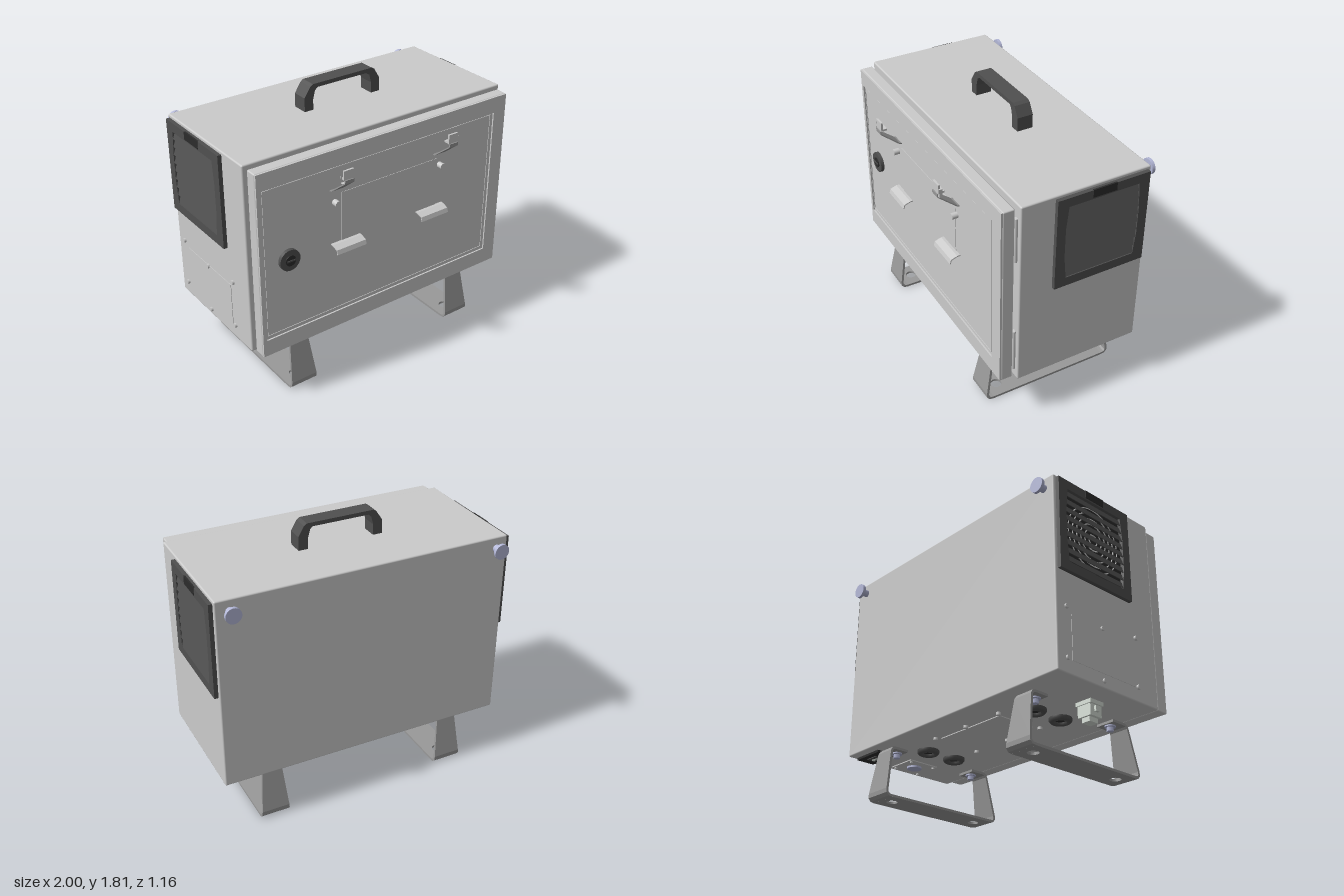
import * as THREE from 'three';
import { RoundedBoxGeometry } from 'three/addons/geometries/RoundedBoxGeometry.js';

const mat = (color) => new THREE.MeshStandardMaterial({ color });
const GREY = mat(0xcccccc), LEG = mat(0x999999), DARK = mat(0x505050), BLACK = mat(0x2c2c2c),
  BOLT = mat(0xb4b8d8), PALE = mat(0xd8e0d8);

export function createModel() {
  const model = new THREE.Group();

  const add = (name, geo, material = GREY, parent = model) => {
    const m = new THREE.Mesh(geo, material);
    m.name = name;
    parent.add(m);
    return m;
  };
  // box given by its limits on each axis
  const box = (name, x0, x1, y0, y1, z0, z1, material, parent) => {
    const m = add(name, new THREE.BoxGeometry(x1 - x0, y1 - y0, z1 - z0), material, parent);
    m.position.set((x0 + x1) / 2, (y0 + y1) / 2, (z0 + z1) / 2);
    return m;
  };
  // cylinder centred at a point, lying along an axis
  const cyl = (name, r, h, axis, x, y, z, material, parent, sides = 24) => {
    const g = new THREE.CylinderGeometry(r, r, h, sides);
    if (axis === 'x') g.rotateZ(-Math.PI / 2);
    if (axis === 'z') g.rotateX(Math.PI / 2);
    const m = add(name, g, material, parent);
    m.position.set(x, y, z);
    return m;
  };
  const poly = (pts) => new THREE.Shape(pts.map((p) => new THREE.Vector2(...p)));
  const rect = (x0, x1, y0, y1) => poly([[x0, y0], [x1, y0], [x1, y1], [x0, y1]]);
  const circle = (x, y, r) => new THREE.Path().absarc(x, y, r, 0, Math.PI * 2, true);
  const extrude = (shape, depth) =>
    new THREE.ExtrudeGeometry(shape, { depth, bevelEnabled: false, curveSegments: 20 });

  // cabinet body
  add('cabinet', new RoundedBoxGeometry(1.94, 1.28, 0.86, 2, 0.01)).position.set(0, 1, -0.08);

  // door: gasket, slab, raised border and sloped rim of the recessed panel
  box('doorGasket', -0.93, 0.84, 0.43, 1.55, 0.34, 0.375);
  add('doorSlab', new RoundedBoxGeometry(1.89, 1.25, 0.076, 2, 0.008)).position.set(-0.005, 0.995, 0.407);
  const border = rect(-0.947, 0.937, 0.373, 1.617);
  border.holes.push(rect(-0.92, 0.84, 0.485, 1.51));
  add('doorBorder', extrude(border, 0.015)).position.z = 0.44;
  const bead = rect(-0.908, 0.818, 0.508, 1.5);
  bead.holes.push(rect(-0.904, 0.814, 0.512, 1.496));
  add('panelBead', extrude(bead, 0.005)).position.z = 0.444;
  for (const y of [0.58, 1.4]) cyl('hinge', 0.014, 0.3, 'y', 0.93, y, 0.358);

  // door lock
  cyl('lockDisc', 0.07, 0.024, 'z', -0.745, 1, 0.456, DARK, model, 40);
  cyl('lockHub', 0.035, 0.008, 'z', -0.745, 1, 0.47, BLACK);
  box('lockSlot', -0.775, -0.715, 0.995, 1.005, 0.47, 0.478, DARK);

  // holder on the door: back plate, spring clips, studs and lower ledges
  box('holderPlate', -0.36, 0.38, 0.98, 1.32, 0.444, 0.448);
  for (const s of [-1, 1]) {
    const cx = s === -1 ? -0.4 : 0.39;
    const clip = new THREE.Group();
    clip.name = 'springClip';
    clip.position.x = cx;
    model.add(clip);
    const arm = strap([[0.444, 1.355], [0.46, 1.36], [0.578, 1.455], [0.578, 1.475]], 0.007,
      (y) => 0.045 - (y - 1.36) * 0.12);
    add('clipArm', arm, LEG, clip);
    box('clipHook', -0.035, 0.035, 1.475, 1.488, 0.535, 0.575, GREY, clip);
    box('clipTip', -0.035, 0.035, 1.485, 1.535, 0.562, 0.575, GREY, clip);
    box('clipEar', -s * 0.005, s * 0.045, 1.455, 1.51, 0.552, 0.573, GREY, clip).scale.x = 1;
    cyl('holderStud', 0.02, 0.045, 'z', cx + s * 0.01, 1.27, 0.463, GREY);
    const ledge = strap([[0.444, 0.986], [0.465, 0.986], [0.507, 0.972], [0.514, 0.945]], 0.007, () => 0.108);
    add('holderLedge', ledge).position.x = s === -1 ? -0.332 : 0.325;
  }

  // carrying handle
  const grip = poly([[-0.288, 1.635], [-0.288, 1.73], [-0.245, 1.795], [-0.225, 1.808], [0.225, 1.808], [0.245, 1.795],
    [0.283, 1.73], [0.283, 1.635], [0.22, 1.635], [0.22, 1.71], [0.205, 1.765], [0.19, 1.782],
    [-0.19, 1.782], [-0.21, 1.765], [-0.225, 1.71], [-0.225, 1.635]]);
  add('handle', extrude(grip, 0.105), DARK).position.z = -0.137;

  // louvred fan vents, built flat (local x across, z outwards) and turned to each side
  for (const s of [-1, 1]) {
    const vent = new THREE.Group();
    vent.name = 'sideVent';
    vent.position.set(s * 0.968, 1.31, -0.18);
    vent.rotation.y = s * Math.PI / 2;
    model.add(vent);
    const frame = rect(-0.31, 0.31, -0.31, 0.31);
    frame.holes.push(poly([[-0.235, -0.25], [0.235, -0.25], [0.25, -0.1], [0.25, 0.1], [0.235, 0.25],
      [-0.235, 0.25], [-0.25, 0.1], [-0.25, -0.1]]));
    add('ventFrame', extrude(frame, 0.028), DARK, vent);
    box('ventBack', -0.26, 0.26, -0.26, 0.26, 0, 0.004, BLACK, vent);
    for (let i = 1; i <= 6; i++) {
      add('fanGuardRing', new THREE.TorusGeometry(i * 0.036, 0.004, 5, 40), GREY, vent).position.z = 0.005;
    }
    for (let i = 0; i < 9; i++) {
      const slat = box('louvre', -0.251, 0.251, -0.024, 0.024, -0.002, 0.002, DARK, vent);
      slat.position.set(0, -0.222 + i * 0.0555, 0.018);
      slat.rotation.x = -0.32;
    }
    box('ventLatch', -0.08, 0.08, 0.26, 0.312, 0.02, 0.031, BLACK, vent);
  }

  // access plate with screws on the right side
  box('accessPlate', -0.973, -0.965, 0.45, 0.74, -0.39, 0.14);
  for (const [y, z] of [[0.775, -0.43], [0.735, -0.13], [0.775, 0.17], [0.455, -0.43], [0.405, -0.13], [0.455, 0.17]]) {
    cyl('accessScrew', 0.015, 0.016, 'x', -0.976, y, z, GREY, model, 12);
  }

  // rear knobs
  for (const x of [-0.893, 0.88]) {
    cyl('knobStem', 0.025, 0.06, 'z', x, 1.565, -0.535, BOLT);
    cyl('knobHead', 0.05, 0.02, 'z', x, 1.565, -0.567, BOLT);
  }

  // bent strap feet: two tapered sides with top tabs, floor with holes
  for (const x of [-0.643, 0.638]) {
    const foot = new THREE.Group();
    foot.name = 'foot';
    foot.position.x = x;
    model.add(foot);
    const width = (y) => 0.098 - y * 0.095;
    const front = [[0.24, 0.343], [0.34, 0.343], [0.358, 0.338], [0.37, 0.32], [0.42, 0.05], [0.419, 0.026],
      [0.405, 0.011], [0.38, 0.008]];
    const back = front.map(([z, y]) => [-z - 0.07 + (y > 0.3 ? -0.01 : 0), y]).reverse();
    add('footFront', strap(front, 0.016, width), LEG, foot);
    add('footBack', strap(back, 0.016, width), LEG, foot);
    const floor = rect(-0.0975, 0.0975, -0.382, 0.452);
    floor.holes.push(circle(0, -0.31, 0.036), circle(0, 0.38, 0.036));
    add('footFloor', extrude(floor, 0.016).rotateX(-Math.PI / 2), LEG, foot);
    for (const z of [0.285, -0.36]) {
      cyl('footWasher', 0.035, 0.012, 'y', 0, 0.332, z, BOLT, foot);
      cyl('footBolt', 0.022, 0.035, 'y', 0, 0.318, z, BOLT, foot, 6);
    }
  }

  // underside: cable grommets
  for (const x of [-0.48, 0.51]) for (const z of [0.02, -0.2]) {
    const profile = [[0.04, 0.03], [0.04, 0], [0.062, 0], [0.072, 0.012], [0.072, 0.03]];
    add('grommet', new THREE.LatheGeometry(profile.map((p) => new THREE.Vector2(...p)).reverse(), 28),
      new THREE.MeshStandardMaterial({ color: 0x505050, side: THREE.DoubleSide })).position.set(x, 0.332, z);
    cyl('grommetHole', 0.041, 0.01, 'y', x, 0.356, z, BLACK);
  }

  // underside: cover plate with screws
  box('bottomPlate', -0.27, 0.27, 0.354, 0.365, -0.29, -0.01);
  for (const x of [-0.295, 0, 0.29]) for (const z of [-0.32, 0.03]) {
    cyl('plateScrew', 0.015, 0.018, 'y', x, 0.352, z, GREY, model, 12);
  }

  // underside: power inlet and round socket on a plate
  box('powerInlet', 0.72, 0.945, 0.344, 0.365, -0.455, -0.325, BLACK);
  box('inletPlug', 0.79, 0.88, 0.338, 0.35, -0.42, -0.36, DARK);
  for (const x of [0.815, 0.835, 0.855]) box('inletPin', x - 0.004, x + 0.004, 0.332, 0.34, -0.4, -0.38, PALE);
  box('socketPlate', 0.72, 0.93, 0.353, 0.365, -0.18, 0.05);
  cyl('socket', 0.05, 0.02, 'y', 0.82, 0.35, -0.07, BOLT);
  for (const x of [0.74, 0.91]) for (const z of [-0.16, 0.03]) cyl('socketScrew', 0.01, 0.016, 'y', x, 0.35, z, GREY, model, 10);

  // underside: rectangular connector
  box('connectorFlange', -0.825, -0.705, 0.335, 0.365, -0.09, 0.02, PALE);
  box('connectorBody', -0.815, -0.715, 0.262, 0.34, -0.083, 0.013, PALE);
  box('connectorClamp', -0.83, -0.7, 0.29, 0.325, -0.05, -0.02, PALE);
  box('connectorNose', -0.795, -0.735, 0.232, 0.265, -0.07, 0, PALE);

  return model;
}

// flat strip of metal following (z, y) points; half width is a function of height
function strap(path, thick, halfWidth) {
  const n = path.length, pos = [], rings = path.map(([z, y], i) => {
    const a = path[Math.max(i - 1, 0)], b = path[Math.min(i + 1, n - 1)];
    const l = Math.hypot(b[0] - a[0], b[1] - a[1]);
    const nz = -(b[1] - a[1]) / l * thick / 2, ny = (b[0] - a[0]) / l * thick / 2, w = halfWidth(y);
    return [[-w, y + ny, z + nz], [w, y + ny, z + nz], [w, y - ny, z - nz], [-w, y - ny, z - nz]];
  });
  const quad = (a, b, c, d) => pos.push(...a, ...b, ...c, ...a, ...c, ...d);
  for (let i = 0; i < n - 1; i++) for (let k = 0; k < 4; k++) {
    const j = (k + 1) % 4;
    quad(rings[i][k], rings[i + 1][k], rings[i + 1][j], rings[i][j]);
  }
  quad(...rings[0]);
  quad(...[...rings[n - 1]].reverse());
  const g = new THREE.BufferGeometry();
  g.setAttribute('position', new THREE.Float32BufferAttribute(pos, 3));
  g.computeVertexNormals();
  return g;
}
